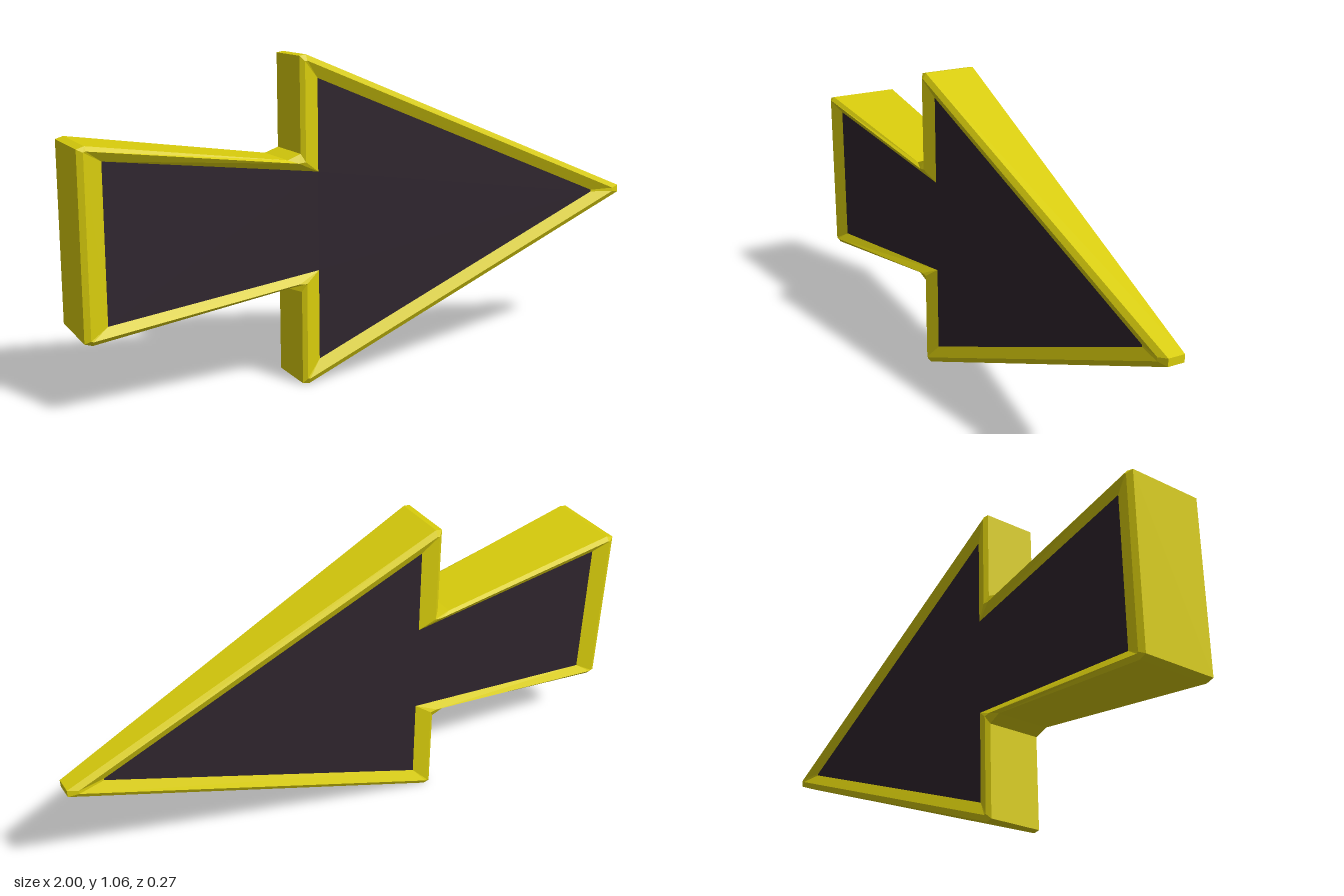
import * as THREE from 'three';

const MID_Y = 0.53;
// Half thickness shrinks evenly from the tail (-x) to the tip (+x)
const halfDepth = (x) => 0.0868 - 0.048 * x;

// Upper half outlines, tail to tip, heights measured from the centre line
const OUTER = [[-1, 0.287], [-0.975, 0.295], [-0.335, 0.205], [-0.29, 0.222], [-0.29, 0.526], [-0.268, 0.53], [1, 0.0125]];
const RIDGE = [[-0.982, 0.278], [-0.975, 0.281], [-0.3, 0.193], [-0.276, 0.196], [-0.276, 0.51], [-0.268, 0.511], [0.968, 0.006]];
const INNER = [[-0.925, 0.246], [-0.925, 0.246], [-0.225, 0.16], [-0.225, 0.16], [-0.225, 0.455], [-0.225, 0.455], [0.882, 0.003]];

// Mirror a half outline into a closed counter-clockwise ring, sunk below the face
function ring(half, sink, side) {
  const lower = half.map(([x, y]) => [x, -y]);
  const loop = [...lower, ...[...half].reverse()];
  return loop.map(([x, y]) => new THREE.Vector3(x, MID_Y + y, side * (halfDepth(x) - sink)));
}

function meshFromTriangles(name, triangles, material) {
  const geometry = new THREE.BufferGeometry().setFromPoints(triangles.flat());
  geometry.computeVertexNormals();
  const mesh = new THREE.Mesh(geometry, material);
  mesh.name = name;
  return mesh;
}

// Join successive rings with flat quads, leaving out collapsed triangles
function loft(rings) {
  const triangles = [];
  const add = (a, b, c) => {
    if (new THREE.Triangle(a, b, c).getArea() > 1e-8) triangles.push([a, b, c]);
  };
  for (let k = 0; k < rings.length - 1; k++) {
    const p = rings[k], q = rings[k + 1];
    p.forEach((_, i) => {
      const j = (i + 1) % p.length;
      add(p[i], p[j], q[j]);
      add(p[i], q[j], q[i]);
    });
  }
  return triangles;
}

// Fill the inner outline with a flat recessed face
function panel(side) {
  const points = ring(INNER, 0.018, side).filter((p, i, all) => i === 0 || !p.equals(all[i - 1]));
  const contour = points.map((p) => new THREE.Vector2(p.x, p.y));
  return THREE.ShapeUtils.triangulateShape(contour, []).map(([a, b, c]) =>
    side > 0 ? [points[a], points[b], points[c]] : [points[a], points[c], points[b]]);
}

export function createModel() {
  const yellow = new THREE.MeshStandardMaterial({ color: 0xd8cc0c });
  yellow.name = 'yellow';
  const dark = new THREE.MeshStandardMaterial({ color: 0x2e242d });
  dark.name = 'dark plum';

  const arrow = new THREE.Group();
  arrow.name = 'arrow';

  // Frame: back recess wall, chamfer, outer sides, chamfer, front recess wall
  arrow.add(meshFromTriangles('frame', loft([
    ring(INNER, 0.018, -1), ring(RIDGE, 0, -1), ring(OUTER, 0.011, -1),
    ring(OUTER, 0.011, 1), ring(RIDGE, 0, 1), ring(INNER, 0.018, 1),
  ]), yellow));

  // Recessed faces
  arrow.add(meshFromTriangles('frontPanel', panel(1), dark));
  arrow.add(meshFromTriangles('backPanel', panel(-1), dark));
  return arrow;
}
